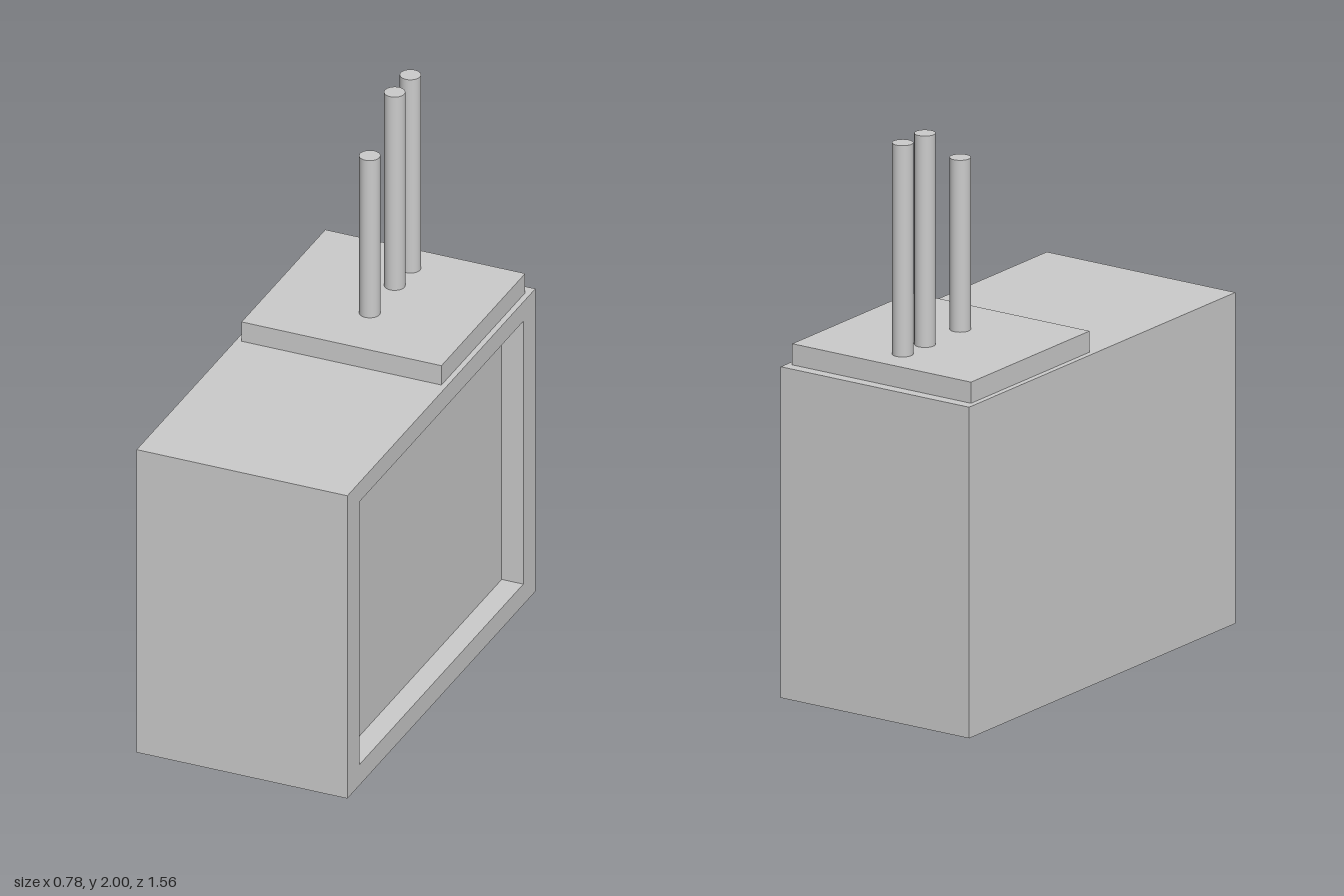
import * as THREE from 'three';
import { mergeGeometries } from 'three/addons/utils/BufferGeometryUtils.js';

const W = 0.78, H = 1.175, D = 1.56;             // body size
const RECESS = { depth: 0.08, y0: 0.08, y1: 1.1, z: 0.68 };

// Box without its +x face
function openBox(w, h, d, x, y) {
  const g = new THREE.BoxGeometry(w, h, d).translate(x, y, 0);
  g.setIndex(Array.from(g.index.array).slice(6));
  g.clearGroups();
  return g;
}

// Turn a geometry inside out
function invert(g) {
  g.setIndex(Array.from(g.index.array).reverse());
  const n = g.attributes.normal;
  for (let i = 0; i < n.array.length; i++) n.array[i] *= -1;
  return g;
}

function rectangle(path, x0, y0, x1, y1) {
  path.moveTo(x0, y0);
  path.lineTo(x1, y0);
  path.lineTo(x1, y1);
  path.lineTo(x0, y1);
  path.closePath();
  return path;
}

// Outer shell, rim around the recess, and the recess walls and floor
function bodyGeometry() {
  const { depth, y0, y1, z } = RECESS;
  const shell = openBox(W, H, D, 0, H / 2);
  const rimShape = rectangle(new THREE.Shape(), -D / 2, 0, D / 2, H);
  rimShape.holes.push(rectangle(new THREE.Path(), -z, y0, z, y1));
  const rim = new THREE.ShapeGeometry(rimShape).rotateY(Math.PI / 2).translate(W / 2, 0, 0);
  const cavity = invert(openBox(depth, y1 - y0, 2 * z, (W - depth) / 2, (y0 + y1) / 2));
  return mergeGeometries([shell, rim, cavity]);
}

export function createModel() {
  const group = new THREE.Group();
  const material = new THREE.MeshStandardMaterial({ color: 0xcccccc });
  const add = (name, geometry) => {
    const mesh = new THREE.Mesh(geometry, material);
    mesh.name = name;
    group.add(mesh);
    return mesh;
  };

  add('body', bodyGeometry());

  // Raised plate over the rear half
  const plateTop = 1.25;
  add('topPlate', new THREE.BoxGeometry(0.74, plateTop - H, 0.695))
    .position.set(0, (H + plateTop) / 2, -0.393);

  // Upright rods: [z, top height]
  [[-0.28, 1.86], [-0.487, 2], [-0.617, 2]].forEach(([z, top], i) => {
    add('rod' + (i + 1), new THREE.CylinderGeometry(0.036, 0.036, top - plateTop, 32))
      .position.set(0, (top + plateTop) / 2, z);
  });

  return group;
}
